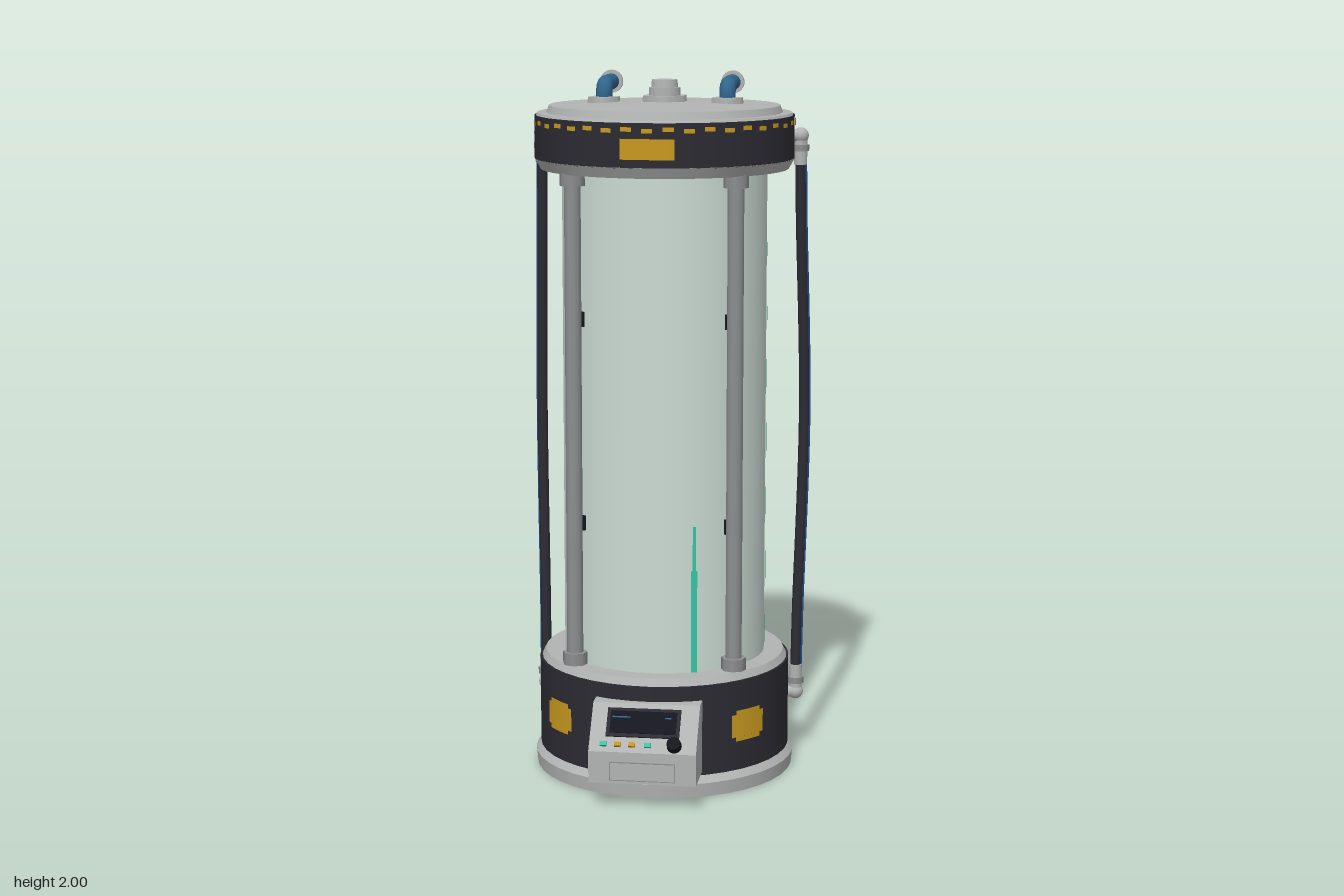
import * as THREE from 'three';

const mat = (name, color, side = THREE.FrontSide) => {
  const m = new THREE.MeshStandardMaterial({ color, side });
  m.name = name;
  return m;
};

export function createModel() {
  const M = {
    trim: mat('light grey metal', 0xb2b4b3),
    rod: mat('mid grey metal', 0x8c8e8f),
    dark: mat('charcoal housing', 0x2c2b33),
    black: mat('black plastic', 0x14171e),
    glass: mat('pale glass', 0xccdbd4),
    teal: mat('teal glow', 0x35c9a6, THREE.DoubleSide),
    gold: mat('gold label', 0xc9991f, THREE.DoubleSide),
    pipe: mat('steel blue pipe', 0x30658c),
    hose: mat('hose blue', 0x2059a3),
  };
  const model = new THREE.Group();
  model.name = 'tank';
  const body = new THREE.Group(); // round parts share one axis
  body.name = 'tankBody';
  body.position.z = -0.055;
  model.add(body);

  const add = (parent, name, geo, material, x = 0, y = 0, z = 0) => {
    const m = new THREE.Mesh(geo, material);
    m.name = name;
    m.position.set(x, y, z);
    parent.add(m);
    return m;
  };
  // Cylinder between two heights
  const ring = (name, r0, r1, y0, y1, material, sides = 40, x = 0, z = 0) =>
    add(body, name, new THREE.CylinderGeometry(r1, r0, y1 - y0, sides), material, x, (y0 + y1) / 2, z);
  // Curved plate lying on the cylinder wall
  const patch = (name, r, angle, w, y0, y1, material) =>
    add(body, name, new THREE.CylinderGeometry(r, r, y1 - y0, 4, 1, true, angle - w / r / 2, w / r),
      material, 0, (y0 + y1) / 2, 0);
  const deg = THREE.MathUtils.degToRad;

  // Foot, base housing and lower rim
  ring('footRing', 0.372, 0.376, 0, 0.04, M.trim);
  ring('footChamfer', 0.376, 0.355, 0.04, 0.065, M.trim);
  ring('baseHousing', 0.362, 0.362, 0.06, 0.32, M.dark);
  ring('baseRim', 0.357, 0.345, 0.318, 0.34, M.trim);

  // Glass cylinder with glowing streaks
  ring('glassCylinder', 0.29, 0.29, 0.335, 1.745, M.glass, 48);
  [[24, 0.018, 0.76], [93, 0.016, 1.58], [205, 0.018, 0.76]].forEach(([a, w, top]) => {
    patch('glowStreak', 0.2925, deg(a), w, 0.34, 0.34 + (top - 0.34) * 0.7, M.teal);
    patch('glowStreakTip', 0.2925, deg(a), w * 0.5, 0.34 + (top - 0.34) * 0.7, top, M.teal);
  });

  // Upper rim, band and lid
  ring('upperRim', 0.35, 0.367, 1.735, 1.765, M.trim);
  ring('upperBand', 0.366, 0.366, 1.763, 1.885, M.dark);
  ring('bandTop', 0.362, 0.358, 1.884, 1.892, M.trim);
  ring('lid', 0.333, 0.325, 1.89, 1.912, M.trim);
  ring('lidDome', 0.322, 0.05, 1.911, 1.922, M.trim);
  ring('capNut', 0.068, 0.066, 1.915, 1.938, M.trim, 6);
  ring('capStem', 0.045, 0.045, 1.935, 1.96, M.trim, 16);
  ring('capTop', 0.038, 0.036, 1.96, 1.982, M.trim, 16);

  // Warning dashes around the band, and labels
  for (let i = 0; i < 40; i++) {
    const up = i % 2 ? 0.004 : 0;
    patch('warningDash', 0.3685, (i / 40) * Math.PI * 2, 0.03, 1.858 + up, 1.87 + up, M.gold);
  }
  const label = (r, a, w, y0, y1) => {
    patch('label', r, a, w, y0 + 0.012, y1 - 0.012, M.gold);
    patch('labelTop', r, a, w * 0.75, y1 - 0.012, y1, M.gold);
    patch('labelBottom', r, a, w * 0.75, y0, y0 + 0.012, M.gold);
  };
  patch('bandLabel', 0.3695, 0, 0.15, 1.787, 1.843, M.gold);
  label(0.366, deg(48), 0.118, 0.145, 0.235);
  label(0.366, deg(-48), 0.118, 0.145, 0.235);

  // Four support rods with end sockets and clips
  for (let i = 0; i < 4; i++) {
    const post = new THREE.Group();
    post.name = 'supportPost';
    post.rotation.y = Math.PI / 4 + (i * Math.PI) / 2;
    body.add(post);
    add(post, 'rod', new THREE.CylinderGeometry(0.023, 0.023, 1.4, 12), M.rod, 0, 1.04, 0.32);
    for (const y of [0.36, 1.72])
      add(post, 'rodSocket', new THREE.CylinderGeometry(0.035, 0.035, 0.035, 8), M.rod, 0, y, 0.32);
    for (const y of [0.75, 1.33])
      add(post, 'rodClip', new THREE.BoxGeometry(0.024, 0.042, 0.03), M.black, 0, y, 0.298);
  }

  // Elbow pipes on the lid
  for (const s of [-1, 1]) {
    const x = s * 0.175;
    ring('pipeNut', 0.05, 0.048, 1.912, 1.932, M.trim, 6, x, -0.015);
    const path = new THREE.CurvePath();
    const P = (y, z) => new THREE.Vector3(x, y, z);
    path.add(new THREE.LineCurve3(P(1.92, -0.02), P(1.935, -0.02)));
    path.add(new THREE.QuadraticBezierCurve3(P(1.935, -0.02), P(1.967, -0.02), P(1.967, -0.055)));
    path.add(new THREE.LineCurve3(P(1.967, -0.055), P(1.967, -0.155)));
    add(body, 'elbowPipe', new THREE.TubeGeometry(path, 24, 0.023, 14), M.pipe);
    add(body, 'pipeFlange', new THREE.CylinderGeometry(0.033, 0.033, 0.014, 18), M.trim, x, 1.967, -0.16)
      .rotation.x = Math.PI / 2;
  }

  // Side hoses with a blue outer face, held by metal fittings
  for (const s of [-1, 1]) {
    const V = (x, y, z) => new THREE.Vector3(s * x, y, z);
    const hosePath = (dx, dz) => new THREE.CatmullRomCurve3([
      V(0.374 + dx, 1.76, -0.128 + dz), V(0.376 + dx, 1.6, -0.137 + dz),
      V(0.388 + dx, 1.02, -0.176 + dz), V(0.376 + dx, 0.42, -0.137 + dz),
      V(0.374 + dx, 0.26, -0.128 + dz)]);
    add(body, 'hose', new THREE.TubeGeometry(hosePath(0, 0), 32, 0.0155, 10), M.dark);
    add(body, 'hoseStripe', new THREE.TubeGeometry(hosePath(0.007, -0.004), 32, 0.011, 8), M.hose);
    for (const [y, d] of [[1.82, -1], [0.18, 1]]) {
      const arm = new THREE.LineCurve3(V(0.335, y, -0.11), V(0.376, y, -0.128));
      add(body, 'fittingArm', new THREE.TubeGeometry(arm, 1, 0.017, 10), M.trim);
      add(body, 'fittingJoint', new THREE.SphereGeometry(0.023, 12, 8), M.trim, s * 0.374, y, -0.127);
      add(body, 'fittingSleeve', new THREE.CylinderGeometry(0.019, 0.019, 0.075, 10), M.trim,
        s * 0.374, y + d * 0.045, -0.128);
      add(body, 'fittingCollar', new THREE.CylinderGeometry(0.024, 0.024, 0.018, 8), M.rod,
        s * 0.374, y + d * 0.035, -0.128);
    }
  }

  // Control box: side profile extruded across x
  const profile = new THREE.Shape([[-0.25, 0.07], [-0.42, 0.075], [-0.42, 0.165], [-0.325, 0.278], [-0.25, 0.278]]
    .map(([a, b]) => new THREE.Vector2(a, b)));
  const boxGeo = new THREE.ExtrudeGeometry(profile, { depth: 0.3, bevelEnabled: false });
  boxGeo.translate(0, 0, -0.15).rotateY(Math.PI / 2);
  add(model, 'controlBox', boxGeo, M.trim);
  add(model, 'frontHatchEdge', new THREE.BoxGeometry(0.184, 0.054, 0.004), M.rod, 0, 0.11, 0.42);
  add(model, 'frontHatch', new THREE.BoxGeometry(0.178, 0.048, 0.006), M.trim, 0, 0.11, 0.42);

  // Sloped face: local y runs up the slope, local z points out
  const face = new THREE.Group();
  face.name = 'controlFace';
  face.position.set(0, 0.2215, 0.3725);
  face.rotation.x = -Math.atan2(0.095, 0.113);
  model.add(face);
  add(face, 'screenFrame', new THREE.BoxGeometry(0.205, 0.085, 0.008), M.dark, -0.003, 0.014, 0.002);
  add(face, 'screen', new THREE.BoxGeometry(0.185, 0.066, 0.004), M.black, -0.003, 0.014, 0.006);
  for (const [x, w] of [[-0.065, 0.05], [0.065, 0.018]])
    add(face, 'screenReadout', new THREE.BoxGeometry(w, 0.004, 0.002), M.pipe, x, 0.028, 0.009);
  [[-0.11, M.teal], [-0.07, M.gold], [-0.03, M.gold], [0.014, M.teal]].forEach(([x, m]) =>
    add(face, 'button', new THREE.BoxGeometry(0.018, 0.012, 0.012), m, x, -0.052, 0.003));
  add(face, 'knob', new THREE.CylinderGeometry(0.019, 0.021, 0.026, 16), M.black, 0.088, -0.05, 0.011)
    .rotation.x = Math.PI / 2;

  return model;
}
